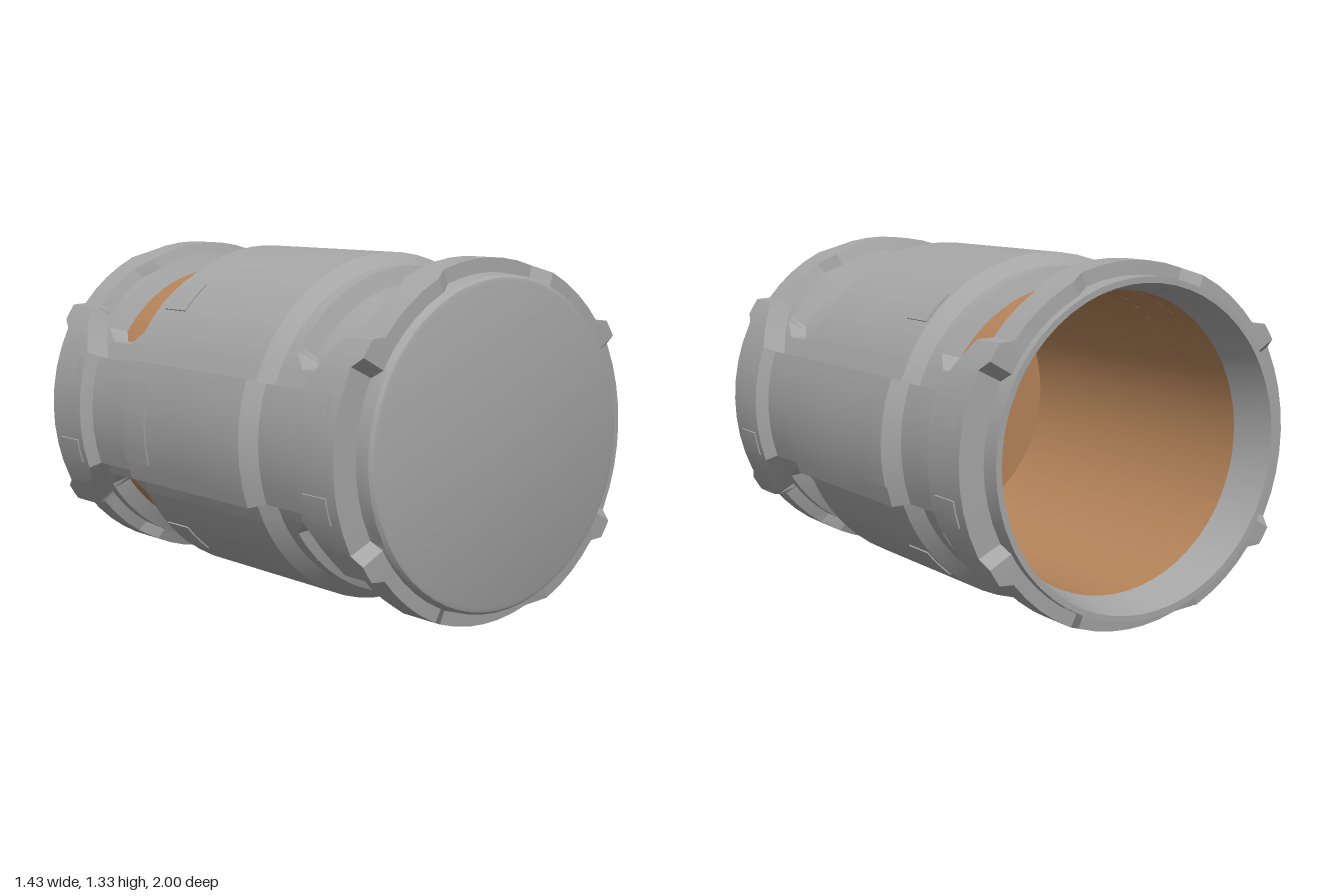
import * as THREE from 'three';
import { toCreasedNormals } from 'three/addons/utils/BufferGeometryUtils.js';

const RAD = Math.PI / 180;
const LINER = 0.555;

// Piecewise linear value at angle a, from [angle, value] pairs
function ramp(a, ...pairs) {
  if (a <= pairs[0][0]) return pairs[0][1];
  for (let i = 1; i < pairs.length; i++) {
    const [a0, v0] = pairs[i - 1], [a1, v1] = pairs[i];
    if (a <= a1) return v0 + (v1 - v0) * (a - a0) / (a1 - a0);
  }
  return pairs[pairs.length - 1][1];
}

// Lengthwise section [z, radius] at angle a, where 0 is the side and 90 the top or bottom
function section(a, front) {
  const strip = a < 19.5;
  const body = strip ? 0.708 : 0.665;
  const base = strip ? 0.66 : 0.618;
  const ring = ramp(a, [35.7, 0.708], [38.8, 0.665]);
  const floor = strip ? base : ramp(a, [26.5, 0.618], [29.5, LINER]);
  const ringIn = ramp(a, [19.6, 0.69], [37, 0.815], [58, 0.815], [65, 0.775]);
  const ringOut = ramp(a, [27, 0.92], [30, 0.965], [65, 0.965], [71, 0.92]);
  const rows = [
    [0, body], [0.385, body], [0.44, base],
    [ramp(a, [26.5, 0.56], [32, 0.5]), base],
    [ramp(a, [29.5, 0.56], [34, 0.525]), floor],
    [ramp(a, [26.5, 0.68], [29.5, 0.69], [34, 0.73]), floor],
    [ramp(a, [26.5, 0.68], [32, 0.765]), base],
    [ringIn, base], [ringIn + 0.02, ring],
    [ringOut, ring], [ringOut + 0.004, 0.613],
  ];
  return rows.concat(front
    ? [[0.982, 0.608], [0.995, 0.598], [1, 0.583], [1, 0]]
    : [[1, 0.612], [1, 0.59], [0.83, LINER]]);
}

// All section angles, mirrored into four quarters
function sectionAngles() {
  const quarter = [0, 6.5, 13, 19.4, 19.6, 26.5, 27, 29.5, 30, 32, 34, 35.7, 37, 38.8,
    45, 51.5, 58, 65, 71, 77.5, 84, 90];
  const all = new Set();
  for (const a of quarter) [a, 180 - a, 180 + a, 360 - a].forEach(v => all.add(v));
  return [...all].sort((p, q) => p - q);
}

// Half of the shell, lofted round the axis; the rear half leaves its windows open
function shellHalf(front) {
  const side = front ? 1 : -1;
  const columns = sectionAngles().map(deg => {
    const t = deg % 180;
    return section(t > 90 ? 180 - t : t, front).map(([z, r]) =>
      new THREE.Vector3(r * Math.cos(deg * RAD), r * Math.sin(deg * RAD), side * z));
  });
  const points = [];
  const tri = (a, b, c) => {
    const area = b.clone().sub(a).cross(c.clone().sub(a)).length();
    if (area > 1e-8) points.push(...(front ? [a, b, c] : [a, c, b]));
  };
  const isFloor = v => Math.hypot(v.x, v.y) < LINER + 0.001;
  for (let i = 0; i + 1 < columns.length; i++) {
    const p = columns[i], q = columns[i + 1];
    for (let j = 0; j + 1 < p.length; j++) {
      if (!front && j === 4 && isFloor(p[j]) && isFloor(q[j])) continue;
      tri(p[j], q[j], q[j + 1]);
      tri(p[j], q[j + 1], p[j + 1]);
    }
  }
  return toCreasedNormals(new THREE.BufferGeometry().setFromPoints(points), 22 * RAD);
}

// Thin curved plate centred on an angle, spanning z0 to z1
function plate(radius, angle, spread, z0, z1) {
  const points = [];
  const steps = 6;
  const at = (i, z, r) => {
    const t = (angle - spread / 2 + spread * i / steps) * RAD;
    return new THREE.Vector3(r * Math.cos(t), r * Math.sin(t), z);
  };
  const quad = (a, b, c, d) => points.push(a, b, c, a, c, d);
  const top = radius + 0.005, low = radius - 0.004;
  for (let i = 0; i < steps; i++) {
    quad(at(i, z0, top), at(i + 1, z0, top), at(i + 1, z1, top), at(i, z1, top));
    quad(at(i, z1, top), at(i + 1, z1, top), at(i + 1, z1, low), at(i, z1, low));
    quad(at(i, z0, low), at(i + 1, z0, low), at(i + 1, z0, top), at(i, z0, top));
  }
  quad(at(0, z0, low), at(0, z0, top), at(0, z1, top), at(0, z1, low));
  quad(at(steps, z1, low), at(steps, z1, top), at(steps, z0, top), at(steps, z0, low));
  return toCreasedNormals(new THREE.BufferGeometry().setFromPoints(points), 22 * RAD);
}

export function createModel() {
  const shell = new THREE.MeshStandardMaterial({ color: 0xa6a6a6, side: THREE.DoubleSide });
  shell.name = 'shellGrey';
  const copper = new THREE.MeshStandardMaterial({ color: 0xb5845a, side: THREE.DoubleSide });
  copper.name = 'linerOrange';

  const model = new THREE.Group();
  model.name = 'canister';
  const barrel = new THREE.Group();
  barrel.name = 'barrel';
  barrel.position.y = 0.67;
  model.add(barrel);
  const add = (name, geometry, material) => {
    const mesh = new THREE.Mesh(geometry, material);
    mesh.name = name;
    barrel.add(mesh);
    return mesh;
  };

  // Outer shell: closed front half, open rear half
  add('frontShell', shellHalf(true), shell);
  add('rearShell', shellHalf(false), shell);

  // Inner liner, seen through the rear windows and the open end
  const liner = new THREE.CylinderGeometry(LINER, LINER, 1.31, 72, 1, true);
  add('liner', liner.rotateX(Math.PI / 2).translate(0, 0, -0.175), copper);
  const end = add('linerEnd', new THREE.CircleGeometry(LINER, 72), copper);
  end.position.z = 0.478;

  // Plates on the barrel
  for (const angle of [0, 180]) add('sidePlate', plate(0.708, angle, 26, -0.385, -0.225), shell);
  for (const angle of [46, 134, 226, 314]) {
    add('cornerPlate', plate(0.665, angle, 12, -0.368, -0.228), shell);
  }

  // Plates on the end rings
  for (const angle of [-14, 14, 166, 194]) {
    add('frontRingPlate', plate(0.708, angle, 8, 0.745, 0.87), shell);
    add('rearRingPlate', plate(0.708, angle, 8, -0.87, -0.745), shell);
  }
  return model;
}
